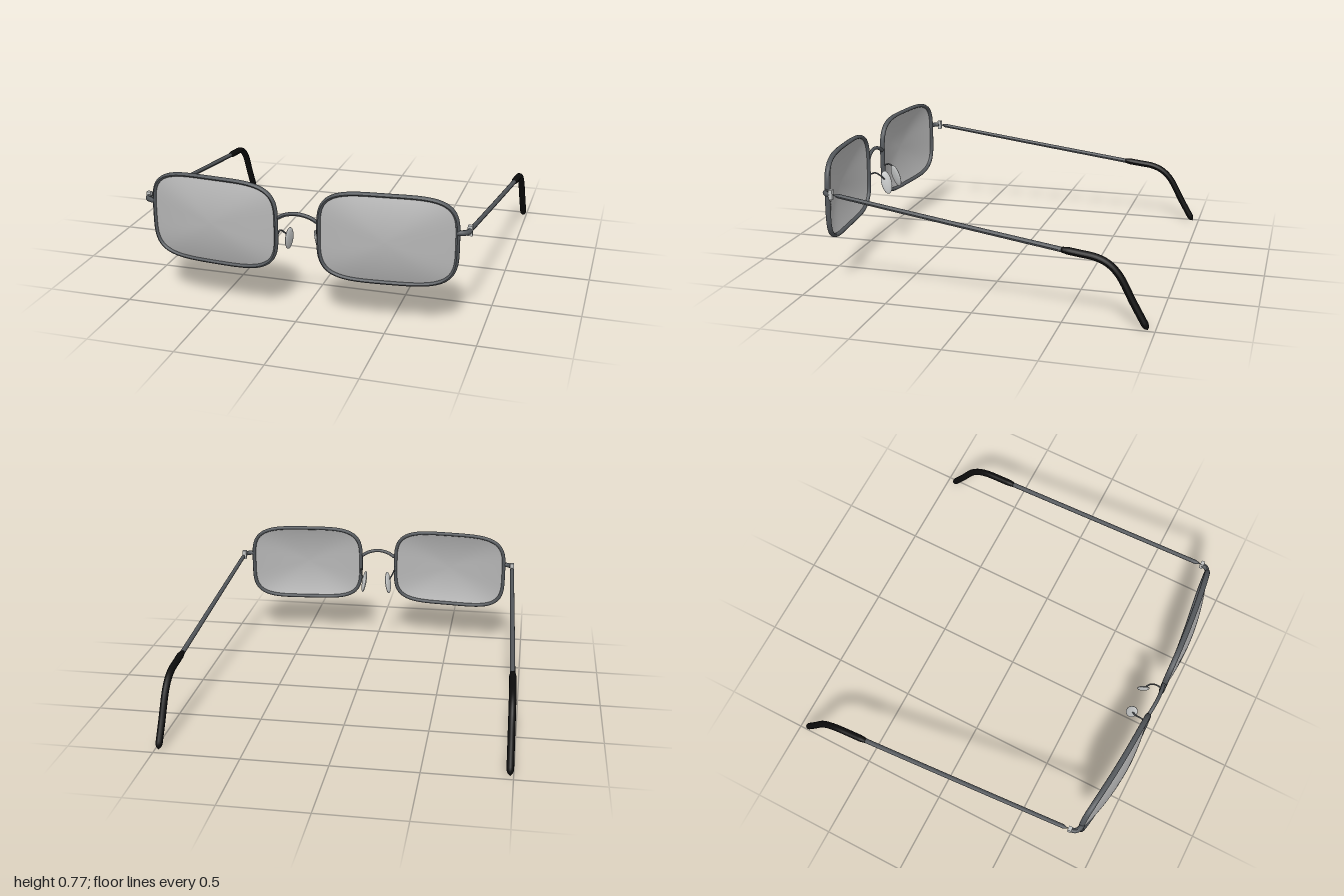
import * as THREE from 'three';

const V = (x, y, z) => new THREE.Vector3(x, y, z);

// Lens outline and the wrap of the frame front
const CX = 0.49, CY = 0.525, HALF_W = 0.37, HALF_H = 0.247;
const frontZ = (x) => 0.95 - 0.09 * x * x;
const power = (c) => Math.sign(c) * Math.sqrt(Math.abs(c)); // superellipse of degree 4
const outline = (t, s, r = 1) =>
  [s * CX + HALF_W * r * power(Math.cos(t)), CY + HALF_H * r * power(Math.sin(t))];

// Closed-ended tube whose radius varies along its length
function taperedTube(points, radiusAt, segments = 32, sides = 12) {
  const curve = new THREE.CatmullRomCurve3(points);
  const geo = new THREE.TubeGeometry(curve, segments, 1, sides);
  const pos = geo.attributes.position, v = V(0, 0, 0);
  for (let i = 0; i <= segments; i++) {
    const centre = curve.getPointAt(i / segments);
    const r = i === 0 || i === segments ? 0.0001 : radiusAt(i / segments);
    for (let j = 0; j <= sides; j++) {
      const k = i * (sides + 1) + j;
      v.fromBufferAttribute(pos, k).sub(centre).multiplyScalar(r).add(centre);
      pos.setXYZ(k, v.x, v.y, v.z);
    }
  }
  geo.computeVertexNormals();
  return geo;
}

// Rim: closed tube, deeper than it is thick, bent to the wrap
function rimGeometry(s) {
  const raw = [];
  for (let i = 0; i < 400; i++) raw.push(V(...outline((i / 400) * Math.PI * 2, s), 0));
  const even = new THREE.CatmullRomCurve3(raw, true).getSpacedPoints(96).slice(0, 96);
  const geo = new THREE.TubeGeometry(new THREE.CatmullRomCurve3(even, true), 128, 0.0115, 10, true);
  const pos = geo.attributes.position;
  for (let i = 0; i < pos.count; i++) pos.setZ(i, pos.getZ(i) * 1.4 + frontZ(pos.getX(i)));
  geo.computeVertexNormals();
  return geo;
}

// Lens: rings of the outline, domed forward
function lensGeometry(s) {
  const RINGS = 12, N = 96, verts = [], index = [];
  for (let i = 0; i <= RINGS; i++) {
    const r = i / RINGS;
    for (let j = 0; j < N; j++) {
      const [x, y] = outline((j / N) * Math.PI * 2, s, r);
      verts.push(x, y, frontZ(x) + 0.044 * (1 - r * r));
      if (i < RINGS) {
        const a = i * N + j, b = i * N + ((j + 1) % N);
        if (i > 0) index.push(a, b + N, b);
        index.push(a, a + N, b + N);
      }
    }
  }
  const geo = new THREE.BufferGeometry();
  geo.setAttribute('position', new THREE.Float32BufferAttribute(verts, 3));
  geo.setIndex(index);
  geo.computeVertexNormals();
  return geo;
}

export function createModel() {
  const material = (name, color, extra = {}) => {
    const m = new THREE.MeshStandardMaterial({ color, ...extra });
    m.name = name;
    return m;
  };
  const metal = material('gunmetal', 0x53575b);
  const silver = material('silver', 0xc4c6c6);
  const glass = material('lens grey', 0xb6b6b6, { side: THREE.DoubleSide });
  const rubber = material('black rubber', 0x0c0c0c);

  const model = new THREE.Group();
  model.name = 'eyeglasses';
  const add = (name, geo, mat) => {
    const mesh = new THREE.Mesh(geo, mat);
    mesh.name = name;
    model.add(mesh);
    return mesh;
  };

  // Arched bridge
  add('bridge', taperedTube([
    V(-0.115, 0.585, 0.945), V(-0.07, 0.612, 0.951), V(0, 0.626, 0.955),
    V(0.07, 0.612, 0.951), V(0.115, 0.585, 0.945),
  ], () => 0.011), metal);

  for (const s of [1, -1]) {
    const side = s > 0 ? 'left' : 'right';
    add(side + 'Rim', rimGeometry(s), metal);
    add(side + 'Lens', lensGeometry(s), glass);

    // Nose pad on its thin wire
    add(side + 'PadWire', taperedTube([
      V(s * 0.115, 0.49, 0.94), V(s * 0.114, 0.5, 0.905),
      V(s * 0.108, 0.485, 0.875), V(s * 0.085, 0.45, 0.85),
    ], () => 0.005, 20, 8), metal);
    const pad = add(side + 'NosePad', new THREE.SphereGeometry(1, 24, 16), silver);
    pad.scale.set(0.013, 0.073, 0.033);
    pad.rotation.set(0.2, s * 0.38, s * 0.14);
    pad.position.set(s * 0.082, 0.435, 0.845);

    // End piece curling back to the hinge
    add(side + 'EndPiece', taperedTube([
      V(s * 0.85, 0.59, 0.888), V(s * 0.885, 0.59, 0.882),
      V(s * 0.908, 0.59, 0.864), V(s * 0.915, 0.59, 0.835),
    ], () => 0.015, 20), metal);
    const hinge = add(side + 'Hinge', new THREE.BoxGeometry(0.026, 0.056, 0.022), silver);
    hinge.position.set(s * 0.915, 0.59, 0.835);

    // Temple arm
    add(side + 'Temple', taperedTube([
      V(s * 0.915, 0.59, 0.828), V(s * 0.94, 0.495, 0.155), V(s * 0.964, 0.401, -0.52),
    ], (u) => 0.0125 + 0.002 * u, 40), metal);

    // Ear tip bending down behind the ear
    add(side + 'EarTip', taperedTube([
      V(s * 0.963, 0.407, -0.48), V(s * 0.966, 0.395, -0.58), V(s * 0.969, 0.38, -0.68),
      V(s * 0.971, 0.35, -0.745), V(s * 0.973, 0.295, -0.8),
      V(s * 0.977, 0.15, -0.88), V(s * 0.981, 0.01, -0.96),
    ], (u) => Math.min(0.014 + 0.1 * u, 0.0205, 0.008 + 0.3 * (1 - u)), 60), rubber);
  }
  return model;
}
